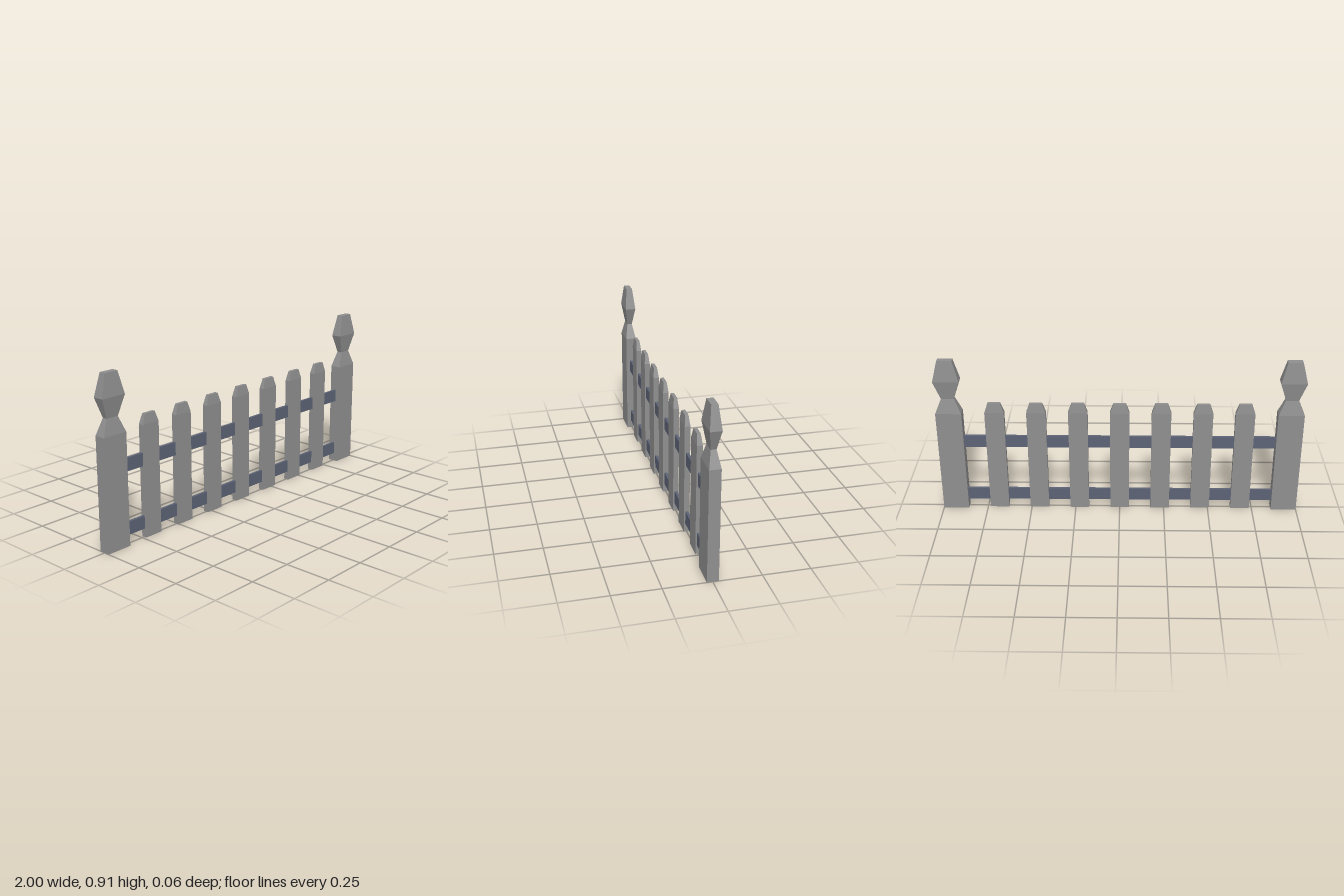
import * as THREE from 'three';

// Rectangular column lofted through levels [y, halfWidth, halfDepth], from bottom to top
function taperedColumn(levels) {
  const n = levels.length - 1;
  const geo = new THREE.BoxGeometry(2, n, 2, 1, n, 1);
  const p = geo.attributes.position;
  for (let i = 0; i < p.count; i++) {
    const [y, hw, hd] = levels[Math.round(p.getY(i) + n / 2)];
    p.setXYZ(i, Math.sign(p.getX(i)) * hw, y, Math.sign(p.getZ(i)) * hd);
  }
  geo.computeVertexNormals();
  return geo;
}

export function createModel() {
  const fence = new THREE.Group();
  fence.name = 'fence';

  const stone = new THREE.MeshStandardMaterial({ color: 0x8f8f8f });
  stone.name = 'grey';
  stone.flatShading = true;
  const slate = new THREE.MeshStandardMaterial({ color: 0x5c6375 });
  slate.name = 'slateBlue';

  const add = (geo, mat, name, x, y = 0) => {
    const mesh = new THREE.Mesh(geo, mat);
    mesh.name = name;
    mesh.position.set(x, y, 0);
    fence.add(mesh);
  };

  // End posts with a pinched neck and a faceted finial
  const postGeo = taperedColumn([
    [0, 0.071, 0.03],
    [0.6, 0.071, 0.03],
    [0.685, 0.035, 0.014],
    [0.79, 0.071, 0.03],
    [0.91, 0.04, 0.017],
  ]);
  add(postGeo, stone, 'rightPost', -0.929);
  add(postGeo, stone, 'leftPost', 0.929);

  // Pickets with bevelled tops
  const picketGeo = taperedColumn([
    [0, 0.053, 0.015],
    [0.6, 0.053, 0.015],
    [0.655, 0.034, 0.009],
  ]);
  for (let i = -3; i <= 3; i++) add(picketGeo, stone, 'picket' + (i + 4), i * 0.2275);

  // Horizontal rails
  const railGeo = new THREE.BoxGeometry(1.73, 0.07, 0.015);
  add(railGeo, slate, 'lowerRail', 0, 0.083);
  add(railGeo, slate, 'upperRail', 0, 0.42);

  return fence;
}
